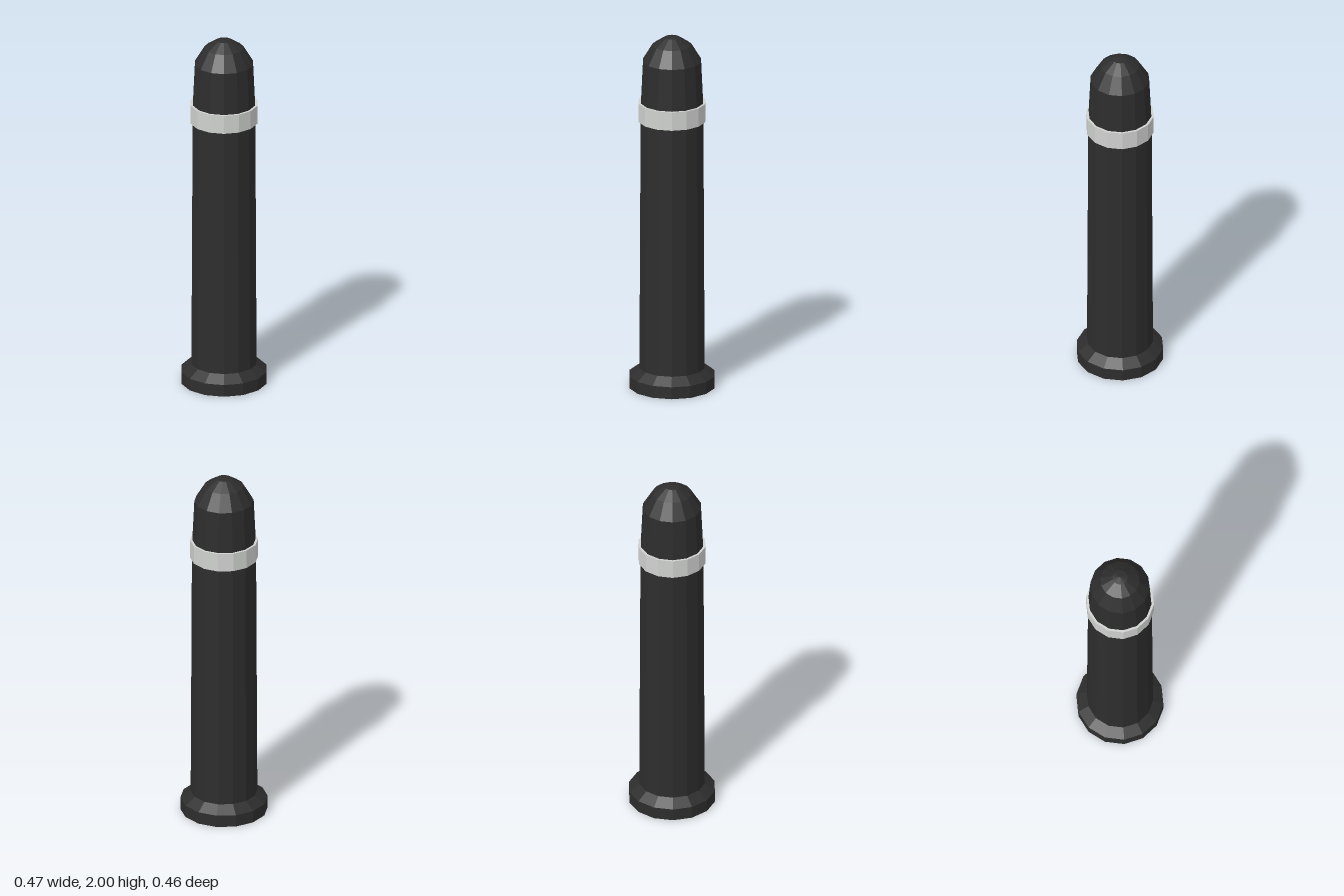
import * as THREE from 'three';

const SIDES = 14;

// Revolve a [radius, height] profile, with a corner pointing along +x
function turned(name, profile, material) {
  const points = profile.map(([r, y]) => new THREE.Vector2(r, y));
  const mesh = new THREE.Mesh(new THREE.LatheGeometry(points, SIDES, Math.PI / 2), material);
  mesh.name = name;
  return mesh;
}

export function createModel() {
  const black = new THREE.MeshStandardMaterial({ color: 0x2d2d2d, flatShading: true });
  black.name = 'black';
  const silver = new THREE.MeshStandardMaterial({ color: 0xd0d2d0, flatShading: true });
  silver.name = 'silver';

  const model = new THREE.Group();
  model.name = 'bollard';

  // Wide foot with a sloped shoulder
  model.add(turned('foot', [
    [0, 0], [0.237, 0], [0.237, 0.068], [0.18, 0.11],
  ], black));

  // Slightly tapered post ending in a faceted dome
  model.add(turned('post', [
    [0.181, 0.105], [0.174, 1.57], [0.171, 1.65], [0.161, 1.86],
    [0.107, 1.95], [0.042, 1.993], [0, 2],
  ], black));

  // Band around the post, a closed ring
  model.add(turned('band', [
    [0.172, 1.52], [0.185, 1.52], [0.185, 1.625], [0.172, 1.625], [0.172, 1.52],
  ], silver));

  return model;
}
